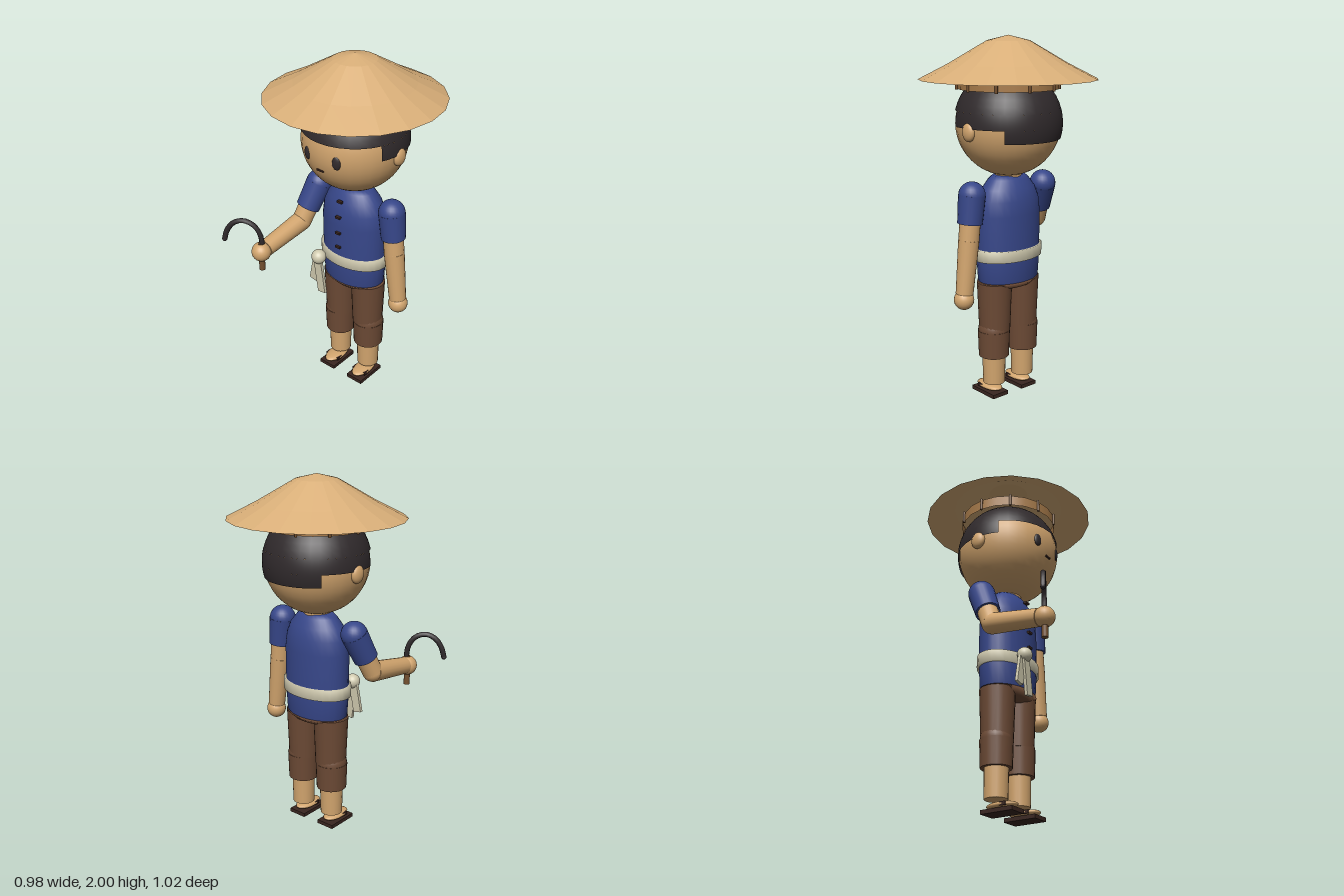
import * as THREE from 'three';

const mat = (name, color, extra = {}) => {
  const m = new THREE.MeshStandardMaterial({ color, ...extra });
  m.name = name;
  return m;
};

export function createModel() {
  const straw = mat('straw', 0xd8ae78, { flatShading: true, side: THREE.DoubleSide });
  const band = mat('bamboo band', 0xa97c4b, { side: THREE.DoubleSide });
  const wood = mat('dark wood', 0x74502f);
  const skin = mat('skin', 0xd2a56e);
  const dark = mat('black hair and iron', 0x302a2c, { side: THREE.DoubleSide });
  const blue = mat('blue cloth', 0x37478a);
  const brown = mat('brown cloth', 0x6c4a35);
  const linen = mat('pale sash', 0xd0caaf);
  const sole = mat('sandal brown', 0x3a2620);

  const model = new THREE.Group();
  const CX = 0.008, CZ = -0.028;
  const V = (x, y, z) => new THREE.Vector3(x, y, z);

  const add = (name, geo, material, pos, parent = model) => {
    const m = new THREE.Mesh(geo, material);
    m.name = name;
    if (pos) m.position.set(...pos);
    parent.add(m);
    return m;
  };
  const ball = (name, material, pos, r, parent) => {
    const m = add(name, new THREE.SphereGeometry(1, 24, 16), material, pos, parent);
    Array.isArray(r) ? m.scale.set(...r) : m.scale.setScalar(r);
    return m;
  };
  // tapered cylinder from point a to point b
  const limb = (name, material, a, b, ra, rb, parent) => {
    const d = b.clone().sub(a);
    const m = add(name, new THREE.CylinderGeometry(rb, ra, d.length(), 20), material, null, parent);
    m.position.copy(a).addScaledVector(d, 0.5);
    m.quaternion.setFromUnitVectors(V(0, 1, 0), d.normalize());
    return m;
  };
  const lathe = (name, material, pts, zScale, segs = 28) => {
    const m = add(name, new THREE.LatheGeometry(pts.map(p => new THREE.Vector2(...p)), segs), material, [CX, 0, CZ]);
    m.scale.z = zScale;
    return m;
  };

  // Conical hat with inner band and slats
  lathe('hat', straw, [[0.48, 1.772], [0.32, 1.853], [0.115, 1.972], [0, 2]], 1, 20);
  add('hatBand', new THREE.CylinderGeometry(0.272, 0.272, 0.06, 20, 1, true), band, [CX, 1.752, CZ]);
  for (let i = 0; i < 10; i++) {
    const a = i * Math.PI / 5;
    add('hatSlat', new THREE.CylinderGeometry(0.008, 0.008, 0.07, 6), wood,
      [CX + 0.275 * Math.cos(a), 1.752, CZ + 0.275 * Math.sin(a)]);
  }

  // Head, face and ears
  const HY = 1.54;
  add('head', new THREE.SphereGeometry(0.285, 32, 24), skin, [CX, HY, CZ]);
  for (const s of [-1, 1]) {
    ball('ear', skin, [CX + s * 0.283, 1.512, -0.04], [0.026, 0.05, 0.043]);
    const eye = ball('eye', dark, [CX + s * 0.097, 1.52, 0.234], [0.024, 0.038, 0.012]);
    eye.rotation.y = s * 0.35;
  }
  add('mouth', new THREE.BoxGeometry(0.042, 0.009, 0.009), sole, [0.004, 1.45, 0.243]);

  // Hair: cap, lower sides and lowest nape
  const rad = THREE.MathUtils.degToRad;
  const hair = (name, p0, p1, t0, t1) => add(name,
    new THREE.SphereGeometry(0.293, 32, 10, rad(p0), rad(p1 - p0), t0, t1 - t0), dark, [CX, HY, CZ]);
  hair('hairCap', 0, 360, 0, 1.33);
  hair('hairSides', 157, 383, 1.33, 1.605);
  hair('hairNape', 225, 315, 1.605, 1.85);

  // Torso
  limb('neck', skin, V(CX, 1.2, CZ), V(CX, 1.3, CZ), 0.075, 0.075);
  lathe('shirt', blue, [[0, 0.655], [0.17, 0.66], [0.19, 0.68], [0.198, 0.8], [0.2, 1.05], [0.19, 1.13],
    [0.165, 1.19], [0.125, 1.24], [0.1, 1.26], [0, 1.262]], 0.69);
  lathe('hips', brown, [[0, 0.625], [0.1, 0.628], [0.15, 0.642], [0.194, 0.675], [0, 0.677]], 0.7);
  lathe('belt', linen, [[0.19, 0.8], [0.214, 0.8], [0.214, 0.863], [0.19, 0.863]], 0.68);
  [[1.2, 0.096], [1.11, 0.112], [1.012, 0.114], [0.922, 0.113]].forEach(([y, z]) =>
    add('button', new THREE.BoxGeometry(0.03, 0.012, 0.018), sole, [CX, y, z]));

  // Sash knot and its two hanging ends
  ball('sashKnot', linen, [-0.103, 0.83, 0.152], 0.042);
  [[-0.133, 0.735, -0.2, 0.16, 0.145], [-0.09, 0.712, 0.14, 0.215, 0.158]].forEach(([x, y, tilt, len, z]) => {
    add('sashEnd', new THREE.BoxGeometry(0.052, len, 0.018), linen, [x, y, z]).rotation.z = tilt;
  });

  // Legs and sandals
  for (const s of [-1, 1]) {
    const leg = new THREE.Group();
    leg.name = s > 0 ? 'leftLeg' : 'rightLeg';
    model.add(leg);
    const x = CX + s * 0.1, f = CX + s * 0.106;
    limb('thigh', brown, V(x, 0.67, CZ), V(x, 0.39, CZ), 0.098, 0.087, leg);
    ball('knee', brown, [f, 0.39, CZ], 0.088, leg);
    limb('trouserCuff', brown, V(f, 0.39, CZ), V(f, 0.24, CZ), 0.09, 0.085, leg);
    limb('shin', skin, V(f, 0.3, CZ), V(f, 0.078, CZ), 0.067, 0.062, leg);
    ball('foot', skin, [f, 0.043, 0.01], [0.05, 0.02, 0.092], leg);
    add('sole', new THREE.BoxGeometry(0.108, 0.022, 0.19), sole, [f, 0.012, 0.008], leg);
    add('strap', new THREE.BoxGeometry(0.094, 0.02, 0.035), sole, [f, 0.043, 0.04], leg);
  }

  // Arms: sleeve, upper arm, elbow, forearm, hand
  const arm = (name, shoulder, elbow, hand) => {
    const g = new THREE.Group();
    g.name = name;
    model.add(g);
    const cuff = shoulder.clone().lerp(elbow, 0.63);
    ball('shoulder', blue, shoulder.toArray(), 0.073, g);
    limb('sleeve', blue, shoulder, cuff, 0.074, 0.068, g);
    limb('upperArm', skin, shoulder, elbow, 0.058, 0.056, g);
    ball('elbow', skin, elbow.toArray(), 0.056, g);
    limb('forearm', skin, elbow, elbow.clone().lerp(hand, 0.9), 0.057, 0.048, g);
    ball('hand', skin, hand.toArray(), 0.055, g);
  };
  arm('leftArm', V(0.263, 1.176, CZ), V(0.287, 0.935, CZ), V(0.324, 0.61, CZ));
  arm('rightArm', V(-0.25, 1.18, CZ), V(-0.298, 0.955, 0.075), V(-0.302, 0.905, 0.4));

  // Sickle held in the right hand
  limb('sickleHandle', wood, V(-0.302, 0.79, 0.4), V(-0.302, 0.96, 0.4), 0.017, 0.017);
  const arc = [[0, 0.93], [0.012, 1.02], [0.05, 1.075], [0.105, 1.094], [0.16, 1.072], [0.197, 1.02], [0.213, 0.965]];
  const curve = new THREE.CatmullRomCurve3(arc.map(([s, y]) => V(-0.295 - s * 0.87, y, 0.395 + s * 0.5)));
  add('sickleBlade', new THREE.TubeGeometry(curve, 16, 0.015, 6), dark);
  ball('sickleTip', dark, curve.getPoint(1).toArray(), 0.014);

  return model;
}
